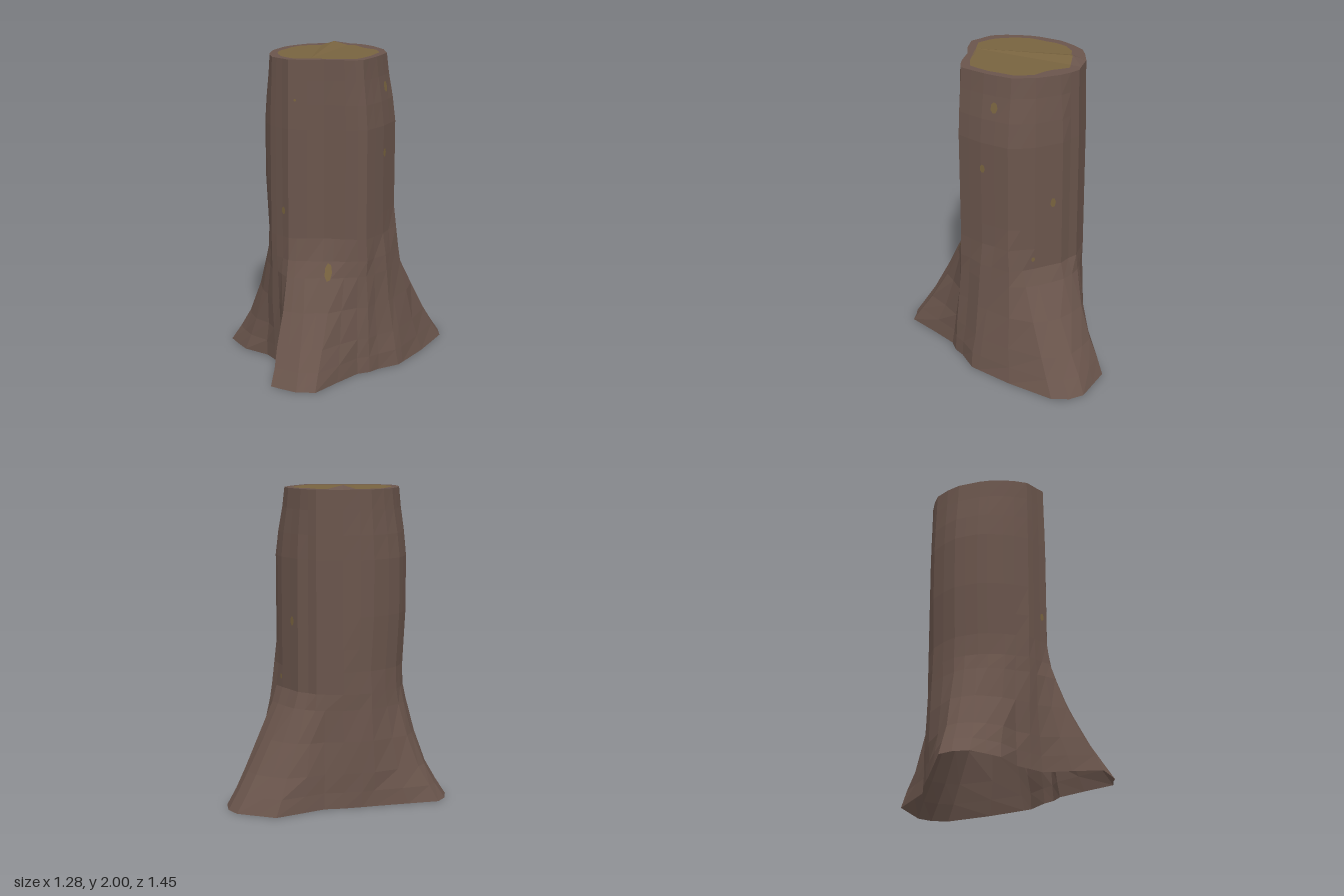
import * as THREE from 'three';

// Columns round the stump: rim x, rim z, ground x, ground z
const COLUMNS = [
  [.39, -.06, .58, 0], [.39, .03, .57, .05], [.38, .12, .48, .17], [.37, .20, .45, .24],
  [.33, .225, .39, .30], [.27, .25, .33, .48], [.21, .265, .27, .68], [.15, .28, .20, .70],
  [.06, .33, .16, .72], [0, .35, .06, .71], [-.05, .365, -.02, .70], [-.10, .34, -.07, .52],
  [-.15, .32, -.11, .35], [-.19, .30, -.19, .30], [-.24, .23, -.27, .245], [-.27, .17, -.45, .21],
  [-.30, .08, -.54, .145], [-.31, .02, -.62, .08], [-.31, -.06, -.64, -.02], [-.31, -.13, -.62, -.11],
  [-.28, -.22, -.45, -.21], [-.23, -.315, -.26, -.325], [-.17, -.36, -.19, -.37], [-.08, -.41, -.09, -.43],
  [.03, -.43, .02, -.48], [.08, -.44, .13, -.60], [.14, -.415, .25, -.73], [.20, -.38, .38, -.725],
  [.26, -.325, .51, -.72], [.315, -.275, .59, -.66], [.35, -.21, .64, -.56], [.385, -.15, .62, -.25],
];
// Root flares: last column, flare height, curve power, waist pinch, trunk bulge
const FLARES = [
  [1, 1, 1.5, 0, 1], [13, .86, 1.5, 0, 1], [22, .84, 2.2, .022, 1], [26, .7, 1.1, 0, 1],
  [29, .7, 1.1, 0, 1.06], [30, .8, 1.3, 0, 1.06], [31, 1, 1.5, 0, 1.03],
];
// Levels: height, taper towards the rim
const LEVELS = [
  [0, 0], [.1, 0], [.22, 0], [.42, 0], [.62, 0], [.72, 0], [.86, 0], [1, 0], [1.2, 0],
  [1.55, 0], [1.7, .3], [1.85, .75], [1.975, 1],
];
const N = COLUMNS.length, TOP = 1.975, PEAK = 23, FOOT = 8;
const CX = .04, CZ = -.04;
// Thicker bark rim at the back, from column 21 on
const BACK_INSETS = [.82, .78, .79, .82, .84, .79, .75, .79];

function seeded(seed) {
  return () => (seed = (seed * 16807) % 2147483647) / 2147483647 - .5;
}

function build(points, index) {
  const g = new THREE.BufferGeometry();
  g.setAttribute('position', new THREE.Float32BufferAttribute(points.flat(), 3));
  g.setIndex(index);
  const flat = g.toNonIndexed();
  flat.computeVertexNormals();
  return flat;
}

// Joins consecutive rings of N points with quads
function loft(rings) {
  const index = [];
  for (let j = 0; j < rings.length - 1; j++) {
    for (let i = 0; i < N; i++) {
      const k = (i + 1) % N;
      const a = j * N + i, b = j * N + k, c = a + N, d = b + N;
      index.push(a, c, b, b, c, d);
    }
  }
  return build(rings.flat(), index);
}

export function createModel() {
  const bark = new THREE.MeshStandardMaterial({ color: 0x6a554c, flatShading: true, side: THREE.DoubleSide });
  bark.name = 'bark brown';
  const wood = new THREE.MeshStandardMaterial({ color: 0x78633f, flatShading: true, side: THREE.DoubleSide });
  wood.name = 'cut wood';

  const group = new THREE.Group();
  group.name = 'treeStump';
  const add = (name, geometry, material) => {
    const mesh = new THREE.Mesh(geometry, material);
    mesh.name = name;
    group.add(mesh);
    return mesh;
  };

  // Trunk flaring into three roots, open underneath, bulging sideways below the rim
  const rand = seeded(77);
  const rings = LEVELS.map(([y, taper]) => COLUMNS.map(([tx, tz, bx, bz], i) => {
    const [, height, power, pinch, bulge] = FLARES.find(([last]) => i <= last);
    const flare = Math.max(0, 1 - y / height) ** power;
    const dx = tx - CX, dz = tz - CZ;
    const side = dx * dx / (dx * dx + dz * dz);
    const mx = CX + dx * bulge * (1 + .155 * side) + pinch * Math.max(0, 1 - Math.abs(y - .82) / .4);
    const mz = CZ + dz * bulge * 1.02;
    const wobble = flare > 0 && flare < 1 ? .012 : 0;
    const x = mx + (bx - mx) * flare + (tx - mx) * taper;
    const z = mz + (bz - mz) * flare + (tz - mz) * taper;
    return [x + rand() * wobble, y, z + rand() * wobble];
  }));
  const trunk = add('trunkAndRoots', loft(rings), bark);

  // Bark rim round the cut, wavy inside, with one raised splinter point
  const outer = rings[rings.length - 1];
  const inner = outer.map(([x, , z], i) => {
    const s = BACK_INSETS[i - 21] ?? .86 + .015 * Math.sin(i * 1.3);
    return [CX + (x - CX) * s, i === PEAK ? 2 : TOP, CZ + (z - CZ) * s];
  });
  add('barkRim', loft([outer, inner]), bark);

  // Cut face fanned from the front edge, leaving one ridge up to the raised point
  const fan = [];
  for (let i = 1; i < N - 1; i++) fan.push(FOOT, (FOOT + i + 1) % N, (FOOT + i) % N);
  add('cutFace', build(inner, fan), wood);

  // Bare patches projected onto the bark: start point, width, height
  const patches = [
    [-.09, 1.03, 3, .016, .026], [.20, .655, 3, .024, .06], [-.01, 1.73, 3, .008, .008],
    [3, 1.78, -.05, .024, .036], [3, 1.38, .02, .018, .028],
    [1.947, 1.16, -2.053, .018, .032], [2.04, .79, -1.96, .013, .017],
  ];
  trunk.updateMatrixWorld(true);
  for (const [x, y, z, w, h] of patches) {
    const dir = x > 1 ? (z < -1 ? [-1, 0, 1] : [-1, 0, 0]) : [0, 0, -1];
    const ray = new THREE.Raycaster(new THREE.Vector3(x, y, z), new THREE.Vector3(...dir).normalize());
    const hit = ray.intersectObject(trunk)[0];
    if (!hit) continue;
    const patch = add('barePatch', new THREE.CircleGeometry(1, 7), wood);
    patch.position.copy(hit.point).addScaledVector(hit.face.normal, .003);
    patch.lookAt(patch.position.clone().add(hit.face.normal));
    patch.scale.set(w, h, 1);
  }
  return group;
}
